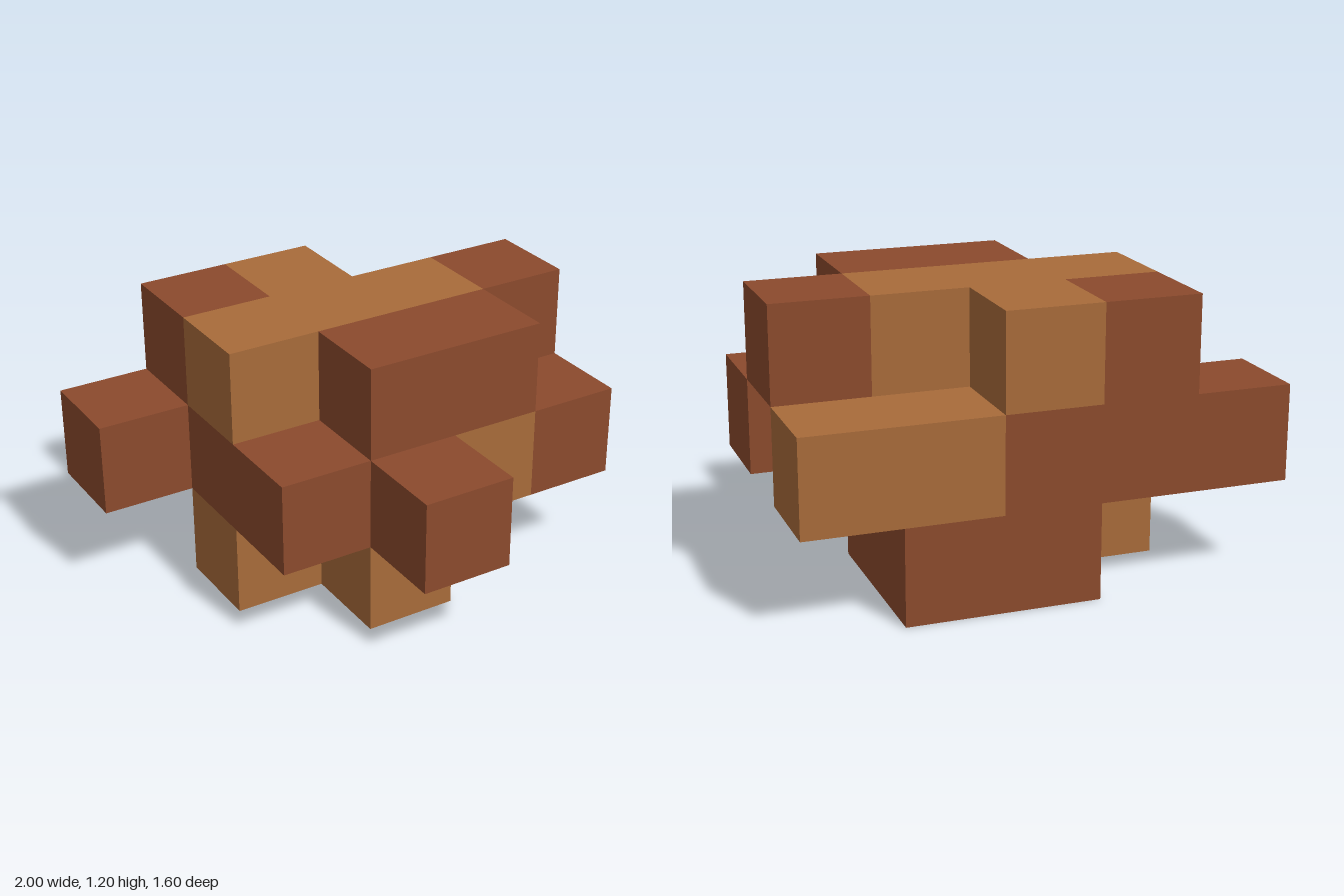
import * as THREE from 'three';
import { mergeGeometries } from 'three/addons/utils/BufferGeometryUtils.js';

const CELL = 0.4;

// Layers from bottom to top; each has rows from back to front, columns from -x to +x.
// L = light wood, D = dark wood, . = empty
const LAYERS = [
  ['..DD.', '.LLD.', '..L..', '.....'],
  ['DDDLL', '.DLL.', '.DDLD', '..D..'],
  ['.DL..', '.LLLD', '..DD.', '.....'],
];

const cellAt = (x, y, z) => LAYERS[y]?.[z]?.[x] ?? '.';

// The six face directions, each with the turn that points a plane that way
const FACES = [
  [[1, 0, 0], [0, Math.PI / 2]],
  [[-1, 0, 0], [0, -Math.PI / 2]],
  [[0, 1, 0], [-Math.PI / 2, 0]],
  [[0, -1, 0], [Math.PI / 2, 0]],
  [[0, 0, 1], [0, 0]],
  [[0, 0, -1], [0, Math.PI]],
];

// Exposed faces of one cube cell
function cubeFaces(x, y, z) {
  return FACES
    .filter(([[dx, dy, dz]]) => cellAt(x + dx, y + dy, z + dz) === '.')
    .map(([[dx, dy, dz], [rx, ry]]) => new THREE.PlaneGeometry(CELL, CELL)
      .rotateX(rx)
      .rotateY(ry)
      .translate(
        (x - 2 + dx / 2) * CELL,
        (y + 0.5 + dy / 2) * CELL,
        (z - 1.5 + dz / 2) * CELL));
}

// All cubes of one wood, joined into a single shell
function woodPiece(name, key, material) {
  const faces = [];
  LAYERS.forEach((rows, y) => rows.forEach((row, z) => [...row].forEach((cell, x) => {
    if (cell === key) faces.push(...cubeFaces(x, y, z));
  })));
  const mesh = new THREE.Mesh(mergeGeometries(faces), material);
  mesh.name = name;
  return mesh;
}

export function createModel() {
  const lightWood = new THREE.MeshStandardMaterial({ color: 0xa86b3a });
  lightWood.name = 'lightWood';
  const darkWood = new THREE.MeshStandardMaterial({ color: 0x8b4a2d });
  darkWood.name = 'darkWood';

  const group = new THREE.Group();
  group.name = 'cubePuzzle';
  group.add(
    woodPiece('lightPuzzlePiece', 'L', lightWood),
    woodPiece('darkPuzzlePiece', 'D', darkWood));
  return group;
}
